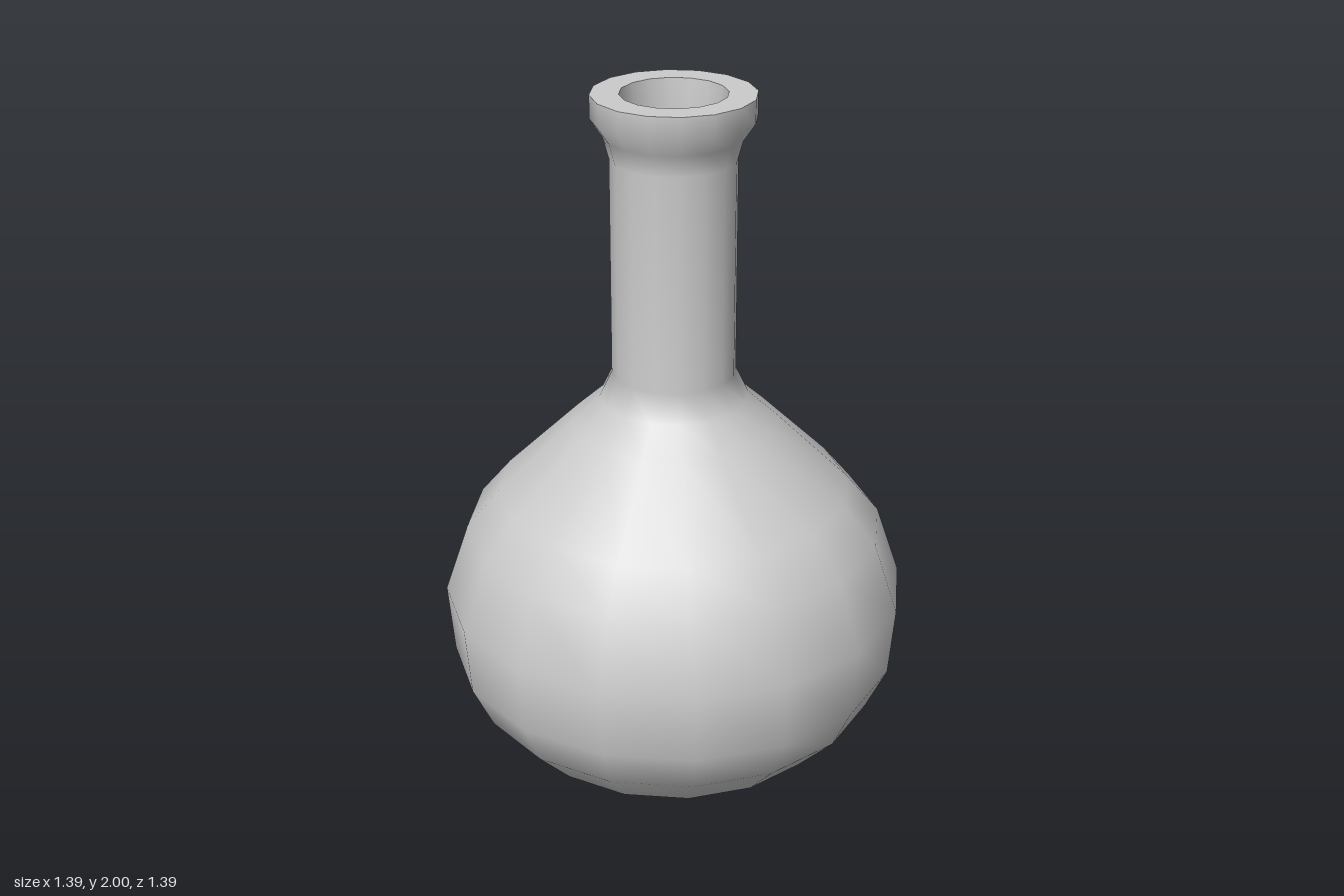
import * as THREE from 'three';

const SIDES = 16;

// Revolve one smooth run of [radius, height] points; separate runs meet in sharp edges.
function turned(name, profile) {
  const points = profile.map(([r, y]) => new THREE.Vector2(r, y));
  const mesh = new THREE.Mesh(
    new THREE.LatheGeometry(points, SIDES),
    new THREE.MeshStandardMaterial({ color: 0xcccccc })
  );
  mesh.name = name;
  return mesh;
}

export function createModel() {
  const flask = new THREE.Group();
  flask.name = 'flask';

  flask.add(
    // flat underside
    turned('base', [[0, 0], [0.49, 0]]),
    // round belly, shoulder, neck and flared lip
    turned('outerWall', [
      [0.49, 0], [0.612, 0.127], [0.675, 0.26], [0.693, 0.47],
      [0.622, 0.68], [0.525, 0.796], [0.3, 1.017], [0.22, 1.09],
      [0.182, 1.17], [0.182, 1.815], [0.2, 1.88], [0.235, 1.932], [0.235, 2],
    ]),
    // flat ring around the mouth
    turned('rim', [[0.235, 2], [0.153, 2]]),
    // inside of neck and belly
    turned('innerWall', [
      [0.153, 2], [0.138, 1.84], [0.138, 1.17], [0.18, 1.06], [0.49, 0.76],
      [0.58, 0.66], [0.645, 0.47], [0.63, 0.28], [0.57, 0.15], [0.47, 0.05],
    ]),
    // floor inside the belly
    turned('innerFloor', [[0.47, 0.05], [0, 0.05]])
  );
  return flask;
}
